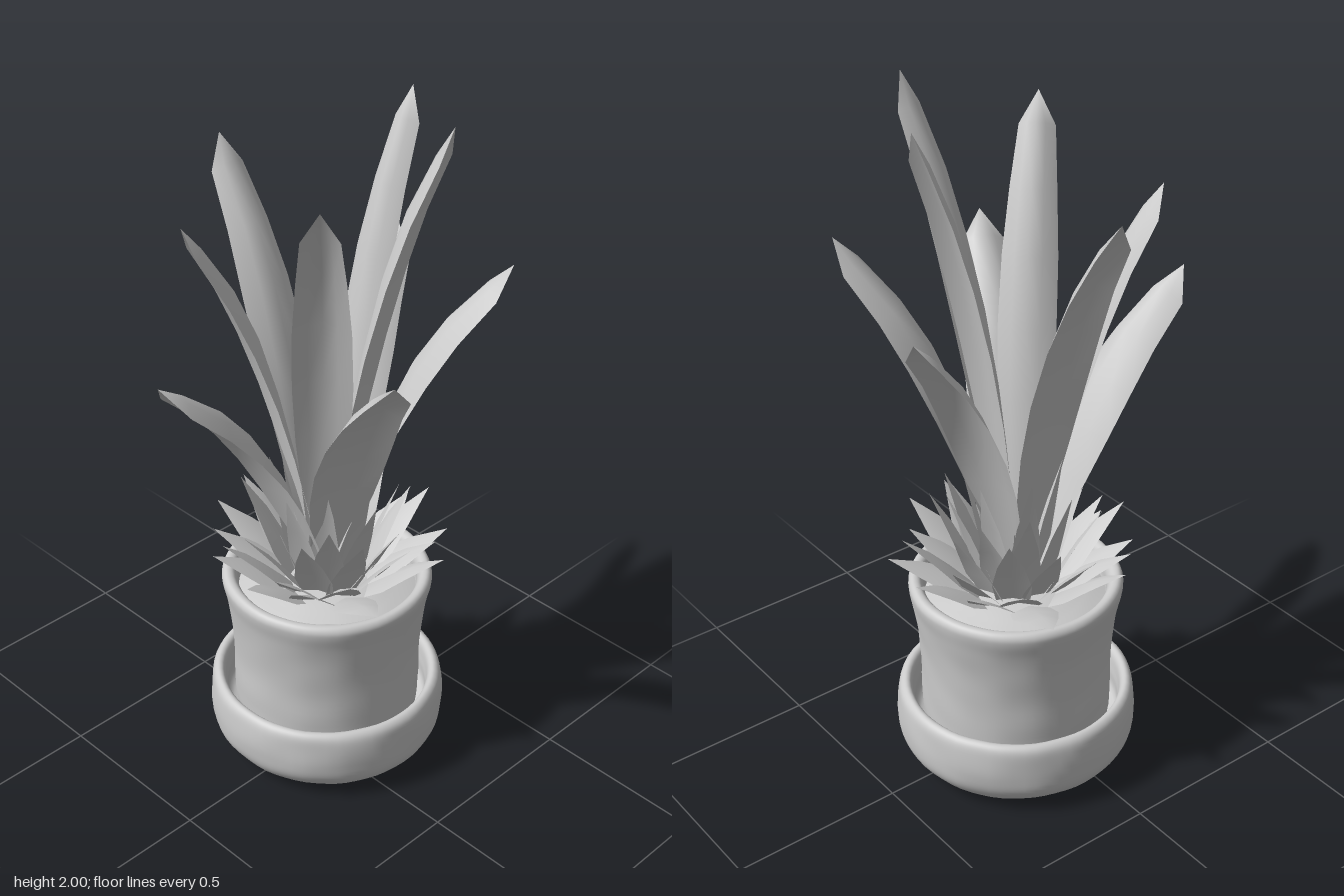
import * as THREE from 'three';
import { mergeVertices } from 'three/addons/utils/BufferGeometryUtils.js';

const CX = 0.073, CZ = -0.025; // axis of the pot

function mat(side = THREE.FrontSide) {
  return new THREE.MeshStandardMaterial({ color: 0xcccccc, roughness: 0.8, side });
}

// Turned clay body with slight hand-made unevenness
function clay(name, profile, wobble) {
  const curve = new THREE.SplineCurve(profile.map(([r, y]) => new THREE.Vector2(r, y)));
  let geo = new THREE.LatheGeometry(curve.getPoints(70).map(p => new THREE.Vector2(Math.max(p.x, 0), Math.max(p.y, 0))), 64);
  const pos = geo.attributes.position;
  for (let i = 0; i < pos.count; i++) {
    const x = pos.getX(i), y = pos.getY(i), z = pos.getZ(i);
    const k = 1 + wobble * (Math.sin(31 * x + 37 * y) + Math.sin(29 * z - 43 * y + 1) + Math.sin(43 * x + 39 * z));
    pos.setXYZ(i, x * k, y, z * k);
  }
  geo.deleteAttribute('uv');
  geo.deleteAttribute('normal');
  geo = mergeVertices(geo, 1e-4);
  geo.computeVertexNormals();
  const mesh = new THREE.Mesh(geo, mat());
  mesh.name = name;
  mesh.position.set(CX, 0, CZ);
  return mesh;
}

// Arched blade with drooping edges: rows are [t along the blade, share of the full width, droop].
// The centre line leans out steadily (share `lean`) and bends over near the tip.
function blade(name, base, tip, width, rows, { r0, lean, cols }) {
  const dx = tip.x - base.x, dz = tip.z - base.z, R = Math.hypot(dx, dz);
  const out = new THREE.Vector3(dx / R, 0, dz / R);
  const side = new THREE.Vector3(-out.z, 0, out.x);
  const H = tip.y - base.y;
  const verts = [], index = [];
  rows.forEach(([t, share, droop], j) => {
    const r = r0 + (R - r0) * (lean * t + (1 - lean) * t ** 5);
    const slope = (R - r0) * (lean + 5 * (1 - lean) * t ** 4);
    const outward = new THREE.Vector3(0, -slope, 0).addScaledVector(out, H).normalize();
    const w = width * share;
    for (let i = 0; i <= cols; i++) {
      const u = 2 * i / cols - 1;
      const p = base.clone().addScaledVector(out, r).addScaledVector(side, u * w / 2)
        .addScaledVector(outward, droop * w * u * u);
      p.y += H * t;
      verts.push(p.x, p.y, p.z);
      if (j < rows.length - 1 && i < cols) {
        const a = j * (cols + 1) + i, b = a + cols + 1;
        index.push(a, b, a + 1, a + 1, b, b + 1);
      }
    }
  });
  let geo = new THREE.BufferGeometry();
  geo.setAttribute('position', new THREE.Float32BufferAttribute(verts, 3));
  geo.setIndex(index);
  geo = mergeVertices(geo, 1e-5);
  geo.computeVertexNormals();
  const mesh = new THREE.Mesh(geo, mat(THREE.DoubleSide));
  mesh.name = name;
  return mesh;
}

export function createModel() {
  const model = new THREE.Group();
  model.name = 'pottedPlant';

  // Saucer, pot and soil
  model.add(clay('saucer', [
    [0, 0], [0.12, 0], [0.24, 0.005], [0.30, 0.03], [0.335, 0.075], [0.344, 0.13], [0.342, 0.19],
    [0.335, 0.225], [0.318, 0.238], [0.302, 0.225], [0.295, 0.18], [0.285, 0.12], [0.2, 0.1], [0, 0.1],
  ], 0.002));
  model.add(clay('pot', [
    [0, 0.1], [0.2, 0.1], [0.262, 0.12], [0.272, 0.22], [0.272, 0.33], [0.279, 0.43], [0.29, 0.51],
    [0.3, 0.56], [0.3, 0.583], [0.288, 0.596], [0.27, 0.592], [0.258, 0.57], [0.25, 0.52], [0.2, 0.5], [0, 0.5],
  ], 0.0015));
  model.add(clay('soil', [[0.262, 0.53], [0.2, 0.55], [0.12, 0.57], [0, 0.58]], 0.004));

  // Long strap leaves with blunt tips: tip x, y, z and width
  const leafRows = [
    [0, 0.4, 0], [0.2, 0.65, 0.05], [0.4, 0.92, 0.12], [0.55, 1, 0.18],
    [0.7, 0.95, 0.25], [0.83, 0.8, 0.3], [0.945, 0.62, 0.3], [1, 0, 0],
  ];
  const leaves = new THREE.Group();
  leaves.name = 'longLeaves';
  [
    [-0.48, 1.40, -0.065, 0.21], [-0.285, 1.73, -0.185, 0.16], [0.075, 1.80, -0.44, 0.175],
    [0.48, 1.50, -0.16, 0.18], [0.37, 1.97, -0.02, 0.14], [0.385, 1.58, 0.335, 0.19],
    [0.19, 2.0, 0.285, 0.15], [-0.2, 1.88, 0.22, 0.16], [-0.16, 1.48, 0.435, 0.2],
  ].forEach(([x, y, z, w]) => leaves.add(
    blade('longLeaf', new THREE.Vector3(0.065, 0.56, -0.03), new THREE.Vector3(x, y, z), w, leafRows, { r0: 0.01, lean: 0.56, cols: 4 })));
  model.add(leaves);

  // Rosette of short pointed leaves: count, root radius, tip radius, tip height, width
  const spikeRows = [[0, 0.85, 0.1], [0.3, 1, 0.1], [0.62, 0.68, 0.1], [1, 0, 0]];
  const rosette = new THREE.Group();
  rosette.name = 'shortLeaves';
  [
    [10, 0.13, 0.335, 0.69, 0.13], [10, 0.11, 0.305, 0.74, 0.12], [9, 0.09, 0.25, 0.82, 0.11],
    [9, 0.07, 0.2, 0.89, 0.1], [7, 0.05, 0.15, 0.97, 0.09],
  ].forEach(([n, r0, r, y, w], ring) => {
    for (let i = 0; i < n; i++) {
      const a = (i + ring * 0.43) / n * Math.PI * 2 + 0.08 * Math.sin(i * 5 + ring);
      const k = 1 + 0.07 * Math.sin(i * 7.3 + ring * 2.1);
      const base = new THREE.Vector3(CX, 0.57, CZ);
      const tip = new THREE.Vector3(CX + Math.cos(a) * r * k, y + 0.04 * Math.sin(i * 3.7 + ring), CZ + Math.sin(a) * r * k);
      rosette.add(blade('shortLeaf', base, tip, w, spikeRows, { r0, lean: 0.9, cols: 2 }));
    }
  });
  model.add(rosette);
  return model;
}
